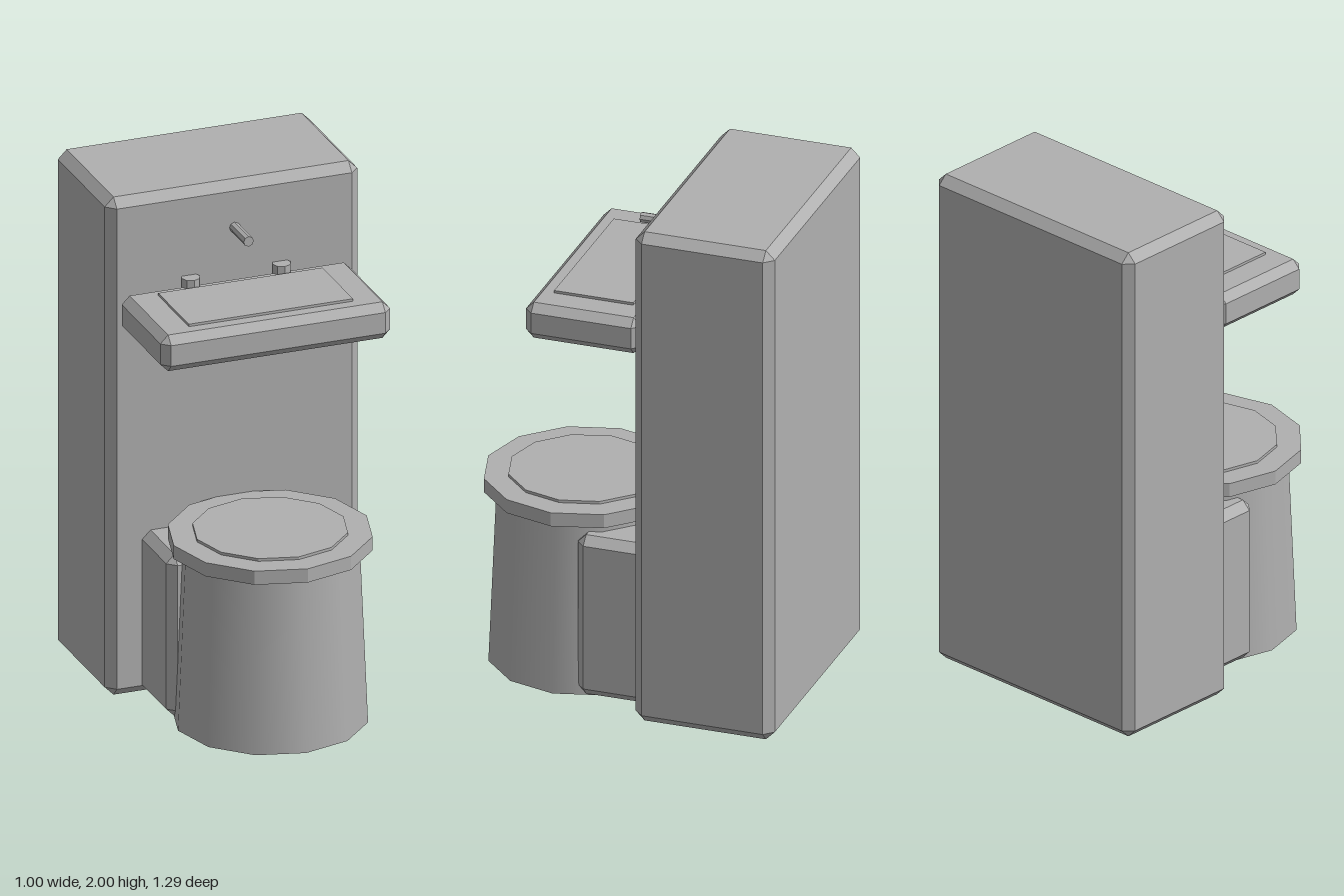
import * as THREE from 'three';
import { ConvexGeometry } from 'three/addons/geometries/ConvexGeometry.js';

const gray = new THREE.MeshStandardMaterial({ color: 0xb0b0b0 });
gray.name = 'plain gray';

// Box with every edge cut at 45 degrees, given by its min and max corners
function chamferBox(min, max, c) {
  const pts = [];
  const center = min.map((v, i) => (v + max[i]) / 2);
  const half = min.map((v, i) => (max[i] - v) / 2);
  for (const sx of [-1, 1]) for (const sy of [-1, 1]) for (const sz of [-1, 1]) {
    const s = [sx, sy, sz];
    for (let full = 0; full < 3; full++) {
      const p = s.map((sign, i) => center[i] + sign * (half[i] - (i === full ? 0 : c)));
      pts.push(new THREE.Vector3(...p));
    }
  }
  return new ConvexGeometry(pts);
}

// Upright round part between two heights
function drum(rTop, rBottom, y0, y1, sides) {
  return new THREE.CylinderGeometry(rTop, rBottom, y1 - y0, sides).translate(0, (y0 + y1) / 2, 0);
}

// Flat-faced version of a geometry
function faceted(geometry) {
  const g = geometry.toNonIndexed();
  g.computeVertexNormals();
  return g;
}

export function createModel() {
  const model = new THREE.Group();
  model.name = 'toiletAndSinkUnit';
  const add = (parent, name, geometry, x = 0, y = 0, z = 0) => {
    const mesh = new THREE.Mesh(geometry, gray);
    mesh.name = name;
    mesh.position.set(x, y, z);
    parent.add(mesh);
    return mesh;
  };

  // Tall cabinet behind everything
  add(model, 'cabinet', chamferBox([-0.5, 0, -0.645], [0.5, 2, -0.1], 0.035));

  // Sink with basin, taps and spout
  const sink = new THREE.Group();
  sink.name = 'sink';
  model.add(sink);
  add(sink, 'sinkSlab', chamferBox([-0.455, 1.475, -0.108], [0.455, 1.62, 0.345], 0.031));
  add(sink, 'basin', new THREE.BoxGeometry(0.65, 0.02, 0.31), 0, 1.62, 0.115);
  for (const side of [-1, 1]) {
    add(sink, side < 0 ? 'rightTap' : 'leftTap', faceted(drum(0.036, 0.036, 1.585, 1.655, 8)), side * 0.18, 0, -0.082);
  }
  const spout = new THREE.CylinderGeometry(0.02, 0.02, 0.16, 8).rotateX(Math.PI / 2);
  add(sink, 'spout', faceted(spout), 0, 1.82, -0.035);

  // Toilet: smooth tapered bowl, faceted seat and lid, block joining the cabinet
  const toilet = new THREE.Group();
  toilet.name = 'toilet';
  model.add(toilet);
  const z = 0.263;
  add(toilet, 'bowl', drum(0.335, 0.365, 0, 0.7, 12), 0, 0, z);
  add(toilet, 'seat', faceted(drum(0.382, 0.382, 0.692, 0.747, 12)), 0, 0, z);
  add(toilet, 'lid', faceted(drum(0.29, 0.29, 0.74, 0.758, 12)), 0, 0, z);
  add(toilet, 'mountingBlock', chamferBox([-0.365, 0.005, -0.15], [0.365, 0.655, 0.175], 0.033));

  return model;
}
